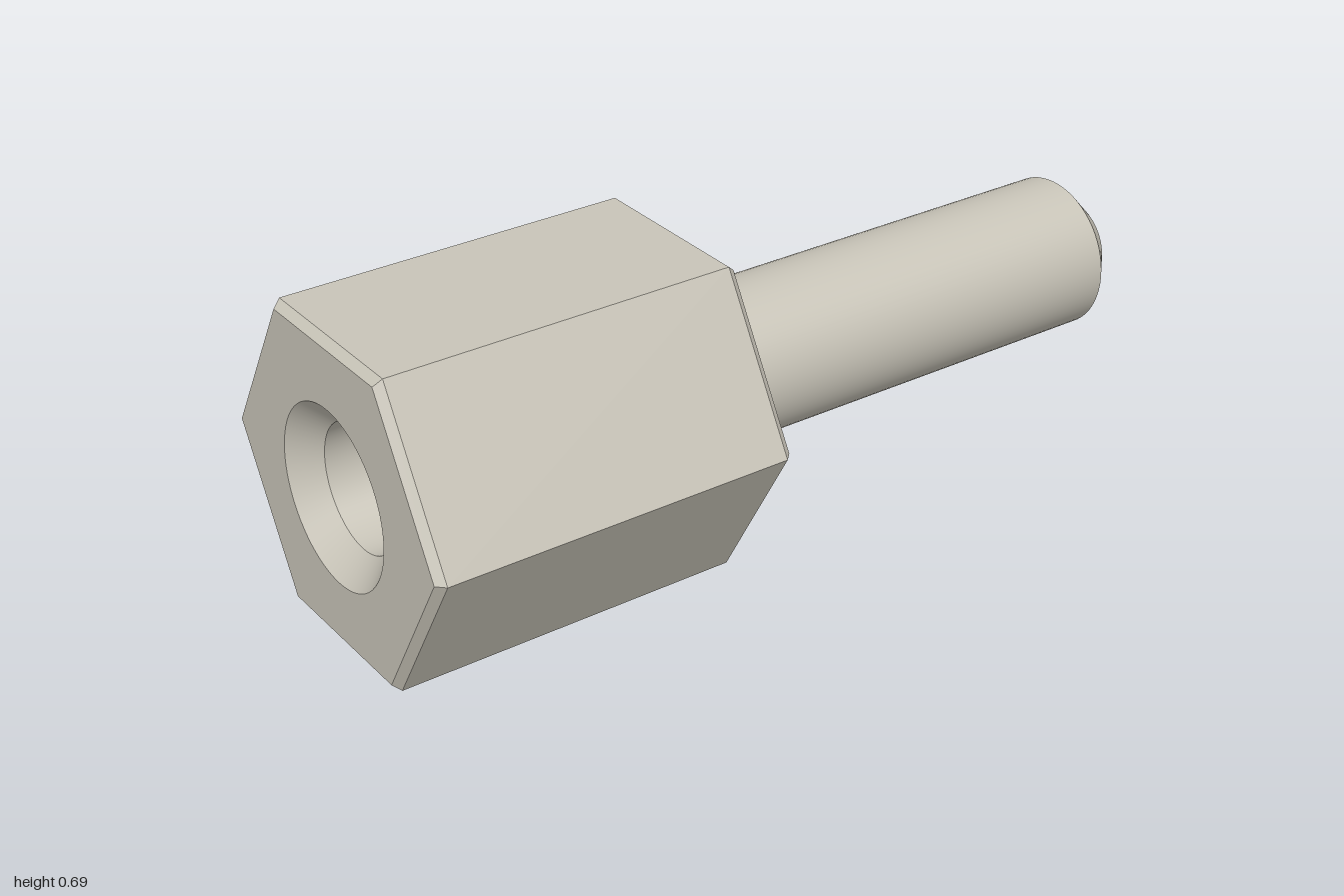
import * as THREE from 'three';
import { toCreasedNormals } from 'three/addons/utils/BufferGeometryUtils.js';

const HEX_R = 0.4, HEX_LEN = 0.82, BEVEL = 0.018, TOTAL = 1.94;
const STUD_R = 0.173, TIP_R = 0.105;
const BORE_R = 0.138, SINK_R = 0.196, BORE_DEPTH = 0.6;

export function createModel() {
  const metal = new THREE.MeshStandardMaterial({ color: 0xc8c4b8 });
  metal.name = 'warm grey metal';

  const model = new THREE.Group();
  model.name = 'threadedStandoff';

  // Everything is turned around y, then laid along x
  const add = (name, geometry) => {
    const mesh = new THREE.Mesh(geometry.rotateZ(-Math.PI / 2), metal);
    mesh.name = name;
    model.add(mesh);
  };
  const turned = (profile, sides) => toCreasedNormals(
    new THREE.LatheGeometry(profile.map(([r, y]) => new THREE.Vector2(r, y)), sides), 0.4);

  // Hexagonal body with bevelled ends and a closed front face
  add('hexBody', turned([
    [HEX_R - BEVEL, 0], [HEX_R, BEVEL], [HEX_R, HEX_LEN - BEVEL],
    [HEX_R - BEVEL, HEX_LEN], [0, HEX_LEN],
  ], 6));

  // Rear face: hexagon with a round opening
  const face = new THREE.Shape();
  for (let i = 0; i < 6; i++) {
    const a = i * Math.PI / 3, r = HEX_R - BEVEL;
    face[i ? 'lineTo' : 'moveTo'](r * Math.sin(a), r * Math.cos(a));
  }
  face.closePath();
  face.holes.push(new THREE.Path().absarc(0, 0, SINK_R, 0, Math.PI * 2, true));
  add('rearFace', new THREE.ShapeGeometry(face, 32).rotateX(Math.PI / 2));

  // Countersunk blind bore
  add('bore', turned([
    [0, BORE_DEPTH], [BORE_R, BORE_DEPTH], [BORE_R, SINK_R - BORE_R], [SINK_R, 0],
  ], 64));

  // Stud with a chamfered tip
  add('stud', turned([
    [STUD_R, HEX_LEN], [STUD_R, TOTAL - STUD_R + TIP_R], [TIP_R, TOTAL], [0, TOTAL],
  ], 64));

  // Swing the axis toward the front and place the rear face centre
  model.rotation.y = -THREE.MathUtils.degToRad(12);
  model.position.set(-0.92, HEX_R * Math.sqrt(3) / 2, -0.086);

  const root = new THREE.Group();
  root.name = 'standoff';
  root.add(model);
  return root;
}
